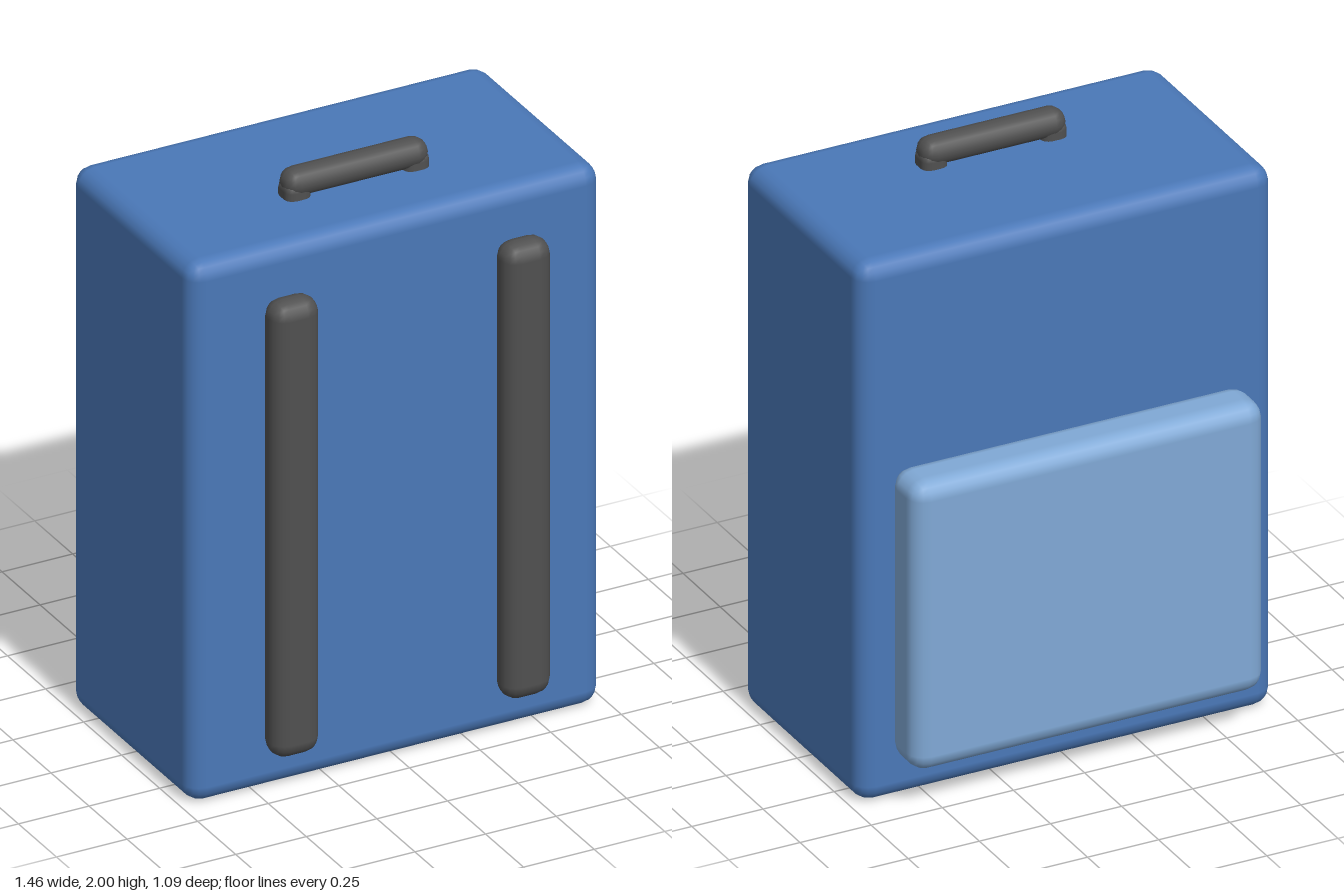
import * as THREE from 'three';
import { RoundedBoxGeometry } from 'three/addons/geometries/RoundedBoxGeometry.js';

const blue = new THREE.MeshStandardMaterial({ color: 0x4a78b8 });
const paleBlue = new THREE.MeshStandardMaterial({ color: 0x80a9d6 });
const dark = new THREE.MeshStandardMaterial({ color: 0x505050 });

// Rounded box given by its size, corner radius and centre
function roundedBox(name, material, [w, h, d], radius, [x, y, z]) {
  const mesh = new THREE.Mesh(new RoundedBoxGeometry(w, h, d, 2, radius), material);
  mesh.name = name;
  mesh.position.set(x, y, z);
  return mesh;
}

export function createModel() {
  const model = new THREE.Group();
  model.name = 'backpack';

  // Main bag and the pocket on its back
  model.add(roundedBox('body', blue, [1.46, 1.905, 0.8], 0.06, [0, 0.9525, 0.017]));
  model.add(roundedBox('pocket', paleBlue, [1.24, 1.02, 0.18], 0.06, [0, 0.665, -0.455]));

  // Grab handle: a bar on two short posts
  const handle = new THREE.Group();
  handle.name = 'handle';
  handle.add(roundedBox('handleBar', dark, [0.51, 0.095, 0.1], 0.047, [0, 1.9525, 0.133]));

  for (const side of [-1, 1]) {
    const label = side > 0 ? 'left' : 'right';
    handle.add(roundedBox(`${label}HandlePost`, dark, [0.09, 0.1, 0.09], 0.03, [side * 0.21, 1.91, 0.133]));
    // Shoulder straps standing just clear of the front
    model.add(roundedBox(`${label}Strap`, dark, [0.17, 1.605, 0.115], 0.055, [side * 0.41, 0.955, 0.487]));
  }
  model.add(handle);
  return model;
}
